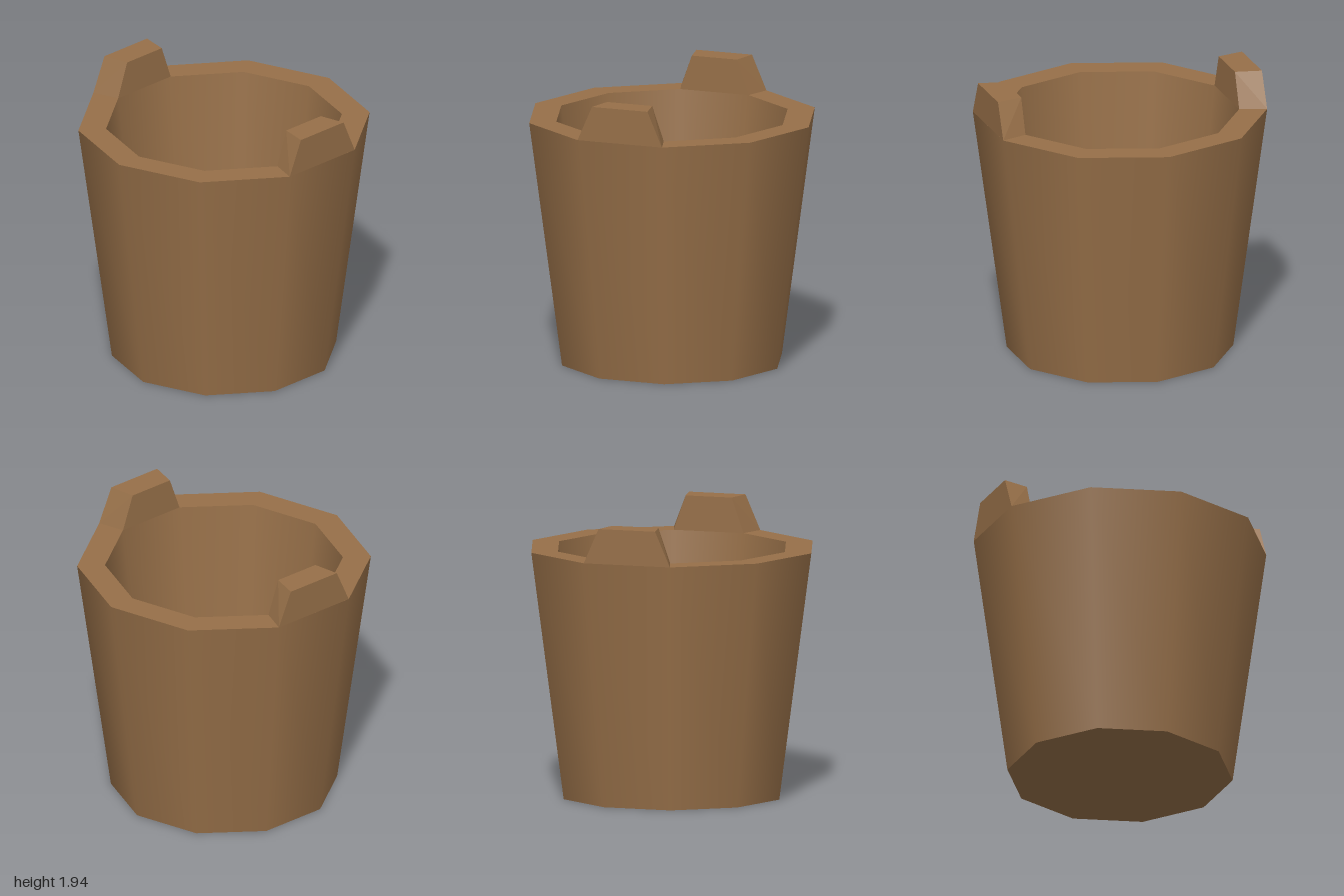
import * as THREE from 'three';
import { ConvexGeometry } from 'three/addons/geometries/ConvexGeometry.js';

const SIDES = 10;
const RIM_Y = 1.7;
const FLOOR_Y = 0.25;
const TAB_Y = 1.94;

export function createModel() {
  const bucket = new THREE.Group();
  bucket.name = 'bucket';

  const wood = new THREE.MeshStandardMaterial({ color: 0x966f48 });
  wood.name = 'brown wood';

  const add = (name, geometry) => {
    const mesh = new THREE.Mesh(geometry, wood);
    mesh.name = name;
    bucket.add(mesh);
  };

  // One ten-sided band between two [radius, height] points; separate bands keep the rims sharp
  const band = (name, from, to) =>
    add(name, new THREE.LatheGeometry([new THREE.Vector2(...from), new THREE.Vector2(...to)], SIDES));

  band('base', [0, 0], [0.77, 0]);
  band('outerWall', [0.77, 0], [1, RIM_Y]);
  band('rim', [1, RIM_Y], [0.81, RIM_Y]);
  band('innerWall', [0.81, RIM_Y], [0.64, FLOOR_Y]);
  band('innerFloor', [0.64, FLOOR_Y], [0, FLOOR_Y]);

  // Raised tapering handle tabs on the two side facets
  for (const side of [1, -1]) {
    const corners = [];
    for (const z of [1, -1]) {
      corners.push(
        new THREE.Vector3(side * 0.951, RIM_Y, z * 0.309),
        new THREE.Vector3(side * 0.77, RIM_Y, z * 0.25),
        new THREE.Vector3(side * 0.951, TAB_Y, z * 0.203),
        new THREE.Vector3(side * 0.77, TAB_Y, z * 0.165)
      );
    }
    add(side > 0 ? 'leftHandleTab' : 'rightHandleTab', new ConvexGeometry(corners));
  }

  return bucket;
}
